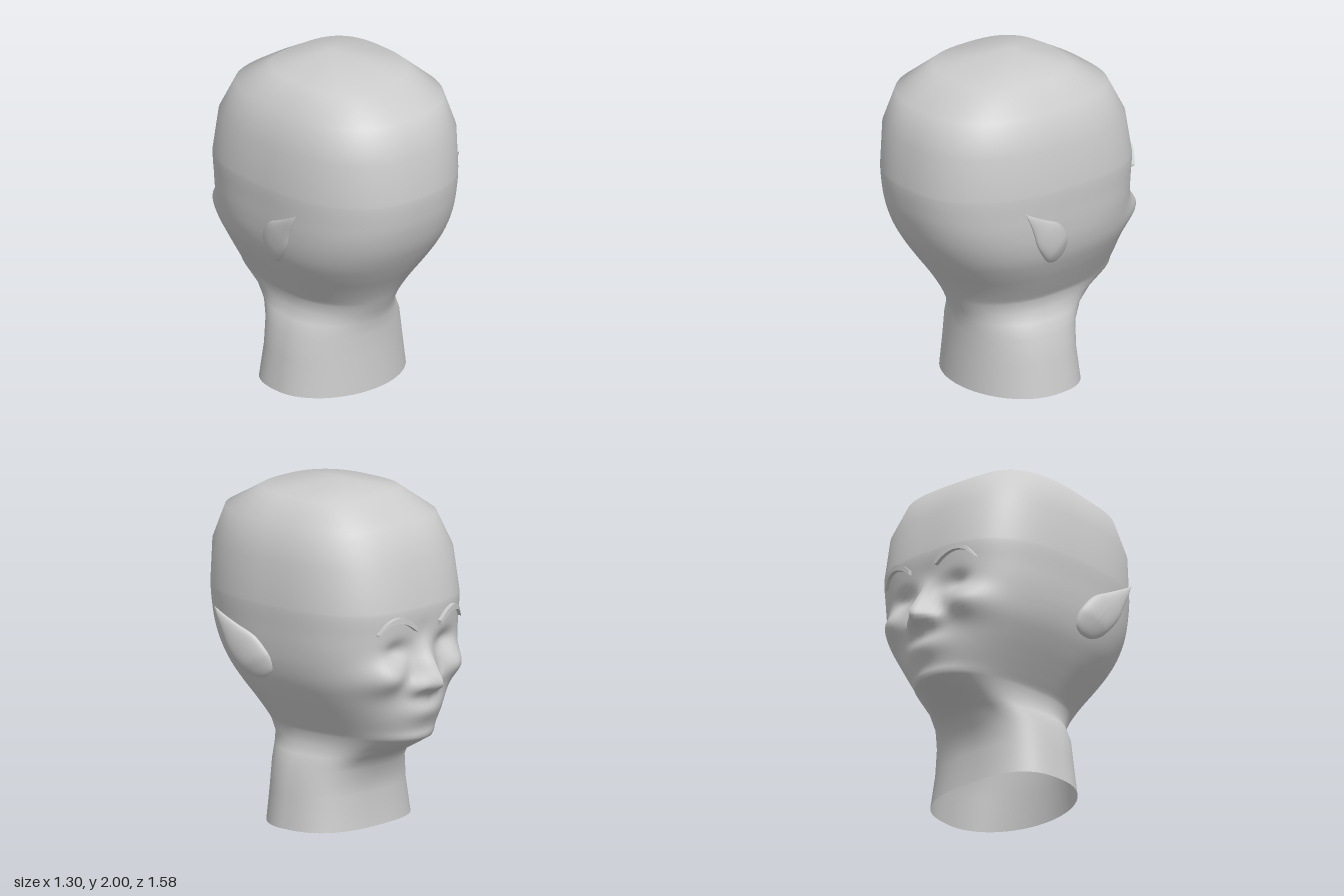
import * as THREE from 'three';

// Smooth interpolation in a table of rows [key, a, b, ...]
function sample(rows, k) {
  let i = 0;
  while (i < rows.length - 2 && k > rows[i + 1][0]) i++;
  const p = rows[i], q = rows[i + 1];
  const before = rows[Math.max(i - 1, 0)], after = rows[Math.min(i + 2, rows.length - 1)];
  const h = q[0] - p[0];
  const t = THREE.MathUtils.clamp((k - p[0]) / h, 0, 1);
  return p.map((v, n) => {
    const m0 = (q[n] - before[n]) / (q[0] - before[0]) * h;
    const m1 = (after[n] - v) / (after[0] - p[0]) * h;
    const d = q[n] - v;
    return v + t * (m0 + t * (3 * d - 2 * m0 - m1 + t * (m0 + m1 - 2 * d)));
  });
}

// Head sections: y, half width, back z, front z, middle z, back and front squareness
const SECTIONS = [
  [0, 0.445, 0.39, -0.30, 0.045, 2, 2.7],
  [0.2, 0.415, 0.38, -0.28, 0.045, 2, 2.7],
  [0.35, 0.39, 0.38, -0.30, 0.045, 2, 2.6],
  [0.43, 0.35, 0.39, -0.38, 0.04, 2, 2.4],
  [0.49, 0.315, 0.41, -0.50, 0.03, 2, 2.25],
  [0.56, 0.325, 0.445, -0.625, 0.03, 2, 2.2],
  [0.62, 0.36, 0.475, -0.632, 0.03, 2.05, 2.25],
  [0.7, 0.41, 0.525, -0.642, 0.04, 2.1, 2.35],
  [0.8, 0.47, 0.595, -0.645, 0.05, 2.2, 2.5],
  [0.9, 0.52, 0.66, -0.64, 0.05, 2.3, 2.65],
  [1.0, 0.55, 0.715, -0.635, 0.05, 2.35, 2.75],
  [1.1, 0.565, 0.752, -0.635, 0.05, 2.4, 2.85],
  [1.2, 0.573, 0.776, -0.64, 0.05, 2.4, 2.85],
  [1.35, 0.58, 0.79, -0.645, 0.05, 2.4, 2.85],
  [1.6, 0.565, 0.77, -0.60, 0.05, 2.5, 2.85],
  [1.8, 0.495, 0.69, -0.50, 0.07, 2.6, 2.9],
  [1.93, 0.35, 0.46, -0.28, 0.09, 2.6, 2.9],
];

// Nose: y, projection, half width
const NOSE = [
  [0.79, 0, 0.11], [0.84, 0.045, 0.12], [0.9, 0.15, 0.12], [1.0, 0.11, 0.11],
  [1.1, 0.04, 0.1], [1.18, 0, 0.1], [1.3, 0, 0.1],
];

// Soft mounds and hollows: x, y, spread x, spread y, depth
const MOUNDS = [
  [0.29, 0.96, 0.12, 0.09, 0.075],  // cheek
  [0.2, 1.11, 0.08, 0.055, -0.04],  // eye socket
  [0.1, 0.89, 0.05, 0.05, 0.035],   // nostril wing
  [0, 0.74, 0.15, 0.07, 0.04],      // mouth
];

function faceRelief(x, y) {
  const ax = Math.abs(x);
  const [, depth, half] = sample(NOSE, y);
  let d = depth * Math.max(0, 1 - ax / half);
  for (const [mx, my, sx, sy, m] of MOUNDS) {
    d += m * Math.exp(-(((ax - mx) / sx) ** 2) - ((y - my) / sy) ** 2);
  }
  return d;
}

// Stacked rings, finer across the face, closed by a shallow peak
function headGeometry() {
  const N = 144, FINE = 40, LOW = 0.56, HIGH = 1.35;
  const levels = SECTIONS.map((s) => s[0]).filter((y) => y < LOW || y > HIGH);
  for (let i = 0; i <= FINE; i++) levels.push(LOW + (HIGH - LOW) * i / FINE);
  levels.sort((a, b) => a - b);
  const pos = [], index = [];
  levels.forEach((y, i) => {
    const [, w, back, front, mid, nBack, nFront] = sample(SECTIONS, y);
    for (let j = 0; j < N; j++) {
      const a = (j / N) * Math.PI * 2, s = Math.sin(a), c = Math.cos(a);
      const n = c > 0 ? nBack : nFront;
      const r = (Math.abs(s) ** n + Math.abs(c) ** n) ** (-1 / n);
      const x = w * s * r;
      let z = mid + c * r * (c > 0 ? back - mid : mid - front);
      if (c < 0 && y > LOW && y < HIGH) z -= faceRelief(x, y) * Math.min(1, -c * 2.5);
      pos.push(x, y, z);
      if (i > 0) {
        const k = (j + 1) % N, lo = (i - 1) * N, hi = i * N;
        index.push(lo + j, lo + k, hi + k, lo + j, hi + k, hi + j);
      }
    }
  });
  const top = (levels.length - 1) * N, peak = levels.length * N;
  pos.push(0, 2, 0);
  for (let j = 0; j < N; j++) index.push(top + j, top + ((j + 1) % N), peak);
  const g = new THREE.BufferGeometry();
  g.setAttribute('position', new THREE.Float32BufferAttribute(pos, 3));
  g.setIndex(index);
  g.computeVertexNormals();
  return g;
}

// Move every vertex by a rule
function reshape(g, rule) {
  const p = g.attributes.position;
  for (let i = 0; i < p.count; i++) p.setXYZ(i, ...rule(p.getX(i), p.getY(i), p.getZ(i)));
  g.computeVertexNormals();
  return g;
}

// Ear spine: t, x, y, z, half breadth, half thickness
const EAR = [
  [0, 0.537, 0.908, 0.075, 0, 0],
  [0.07, 0.545, 0.925, 0.088, 0.058, 0.018],
  [0.18, 0.562, 0.962, 0.115, 0.092, 0.032],
  [0.35, 0.585, 1.015, 0.15, 0.104, 0.038],
  [0.55, 0.608, 1.1, 0.215, 0.099, 0.032],
  [0.75, 0.626, 1.178, 0.29, 0.056, 0.02],
  [0.9, 0.636, 1.243, 0.355, 0.022, 0.01],
  [1, 0.637, 1.29, 0.4, 0, 0],
];

// Pointed leaf-shaped ear swept up and back
function earGeometry(side) {
  return reshape(new THREE.SphereGeometry(1, 32, 32), (x, y, z) => {
    const [, ex, ey, ez, breadth, thick] = sample(EAR, (y + 1) / 2);
    const r = Math.hypot(x, z) || 1;
    const b = (z / r) * breadth;
    return [side * (ex + b * 0.15) + (x / r) * thick, ey - 0.5 * b, ez + 0.87 * b];
  });
}

// Brow: t, x, y, z, half height
const BROW = [
  [0, 0.1, 1.235, -0.672, 0.014],
  [0.25, 0.16, 1.28, -0.667, 0.017],
  [0.5, 0.225, 1.302, -0.655, 0.017],
  [0.75, 0.29, 1.285, -0.633, 0.013],
  [1, 0.345, 1.225, -0.6, 0.005],
];

// Thin arched strip lying on the forehead
function browGeometry(side) {
  return reshape(new THREE.BoxGeometry(1, 2, 1, 16, 1, 1), (x, y, z) => {
    const [, bx, by, bz, h] = sample(BROW, side * x + 0.5);
    return [side * bx, by + y * h, bz + z * 0.025];
  });
}

export function createModel() {
  const grey = new THREE.MeshStandardMaterial({ color: 0xcccccc, side: THREE.DoubleSide });
  grey.name = 'plain grey';
  const model = new THREE.Group();
  model.name = 'headBust';
  const add = (name, geometry) => {
    const mesh = new THREE.Mesh(geometry, grey);
    mesh.name = name;
    model.add(mesh);
  };
  add('headAndNeck', headGeometry());
  for (const side of [1, -1]) {
    const label = side > 0 ? 'left' : 'right';
    add(label + 'Ear', earGeometry(side));
    add(label + 'Brow', browGeometry(side));
  }
  return model;
}
